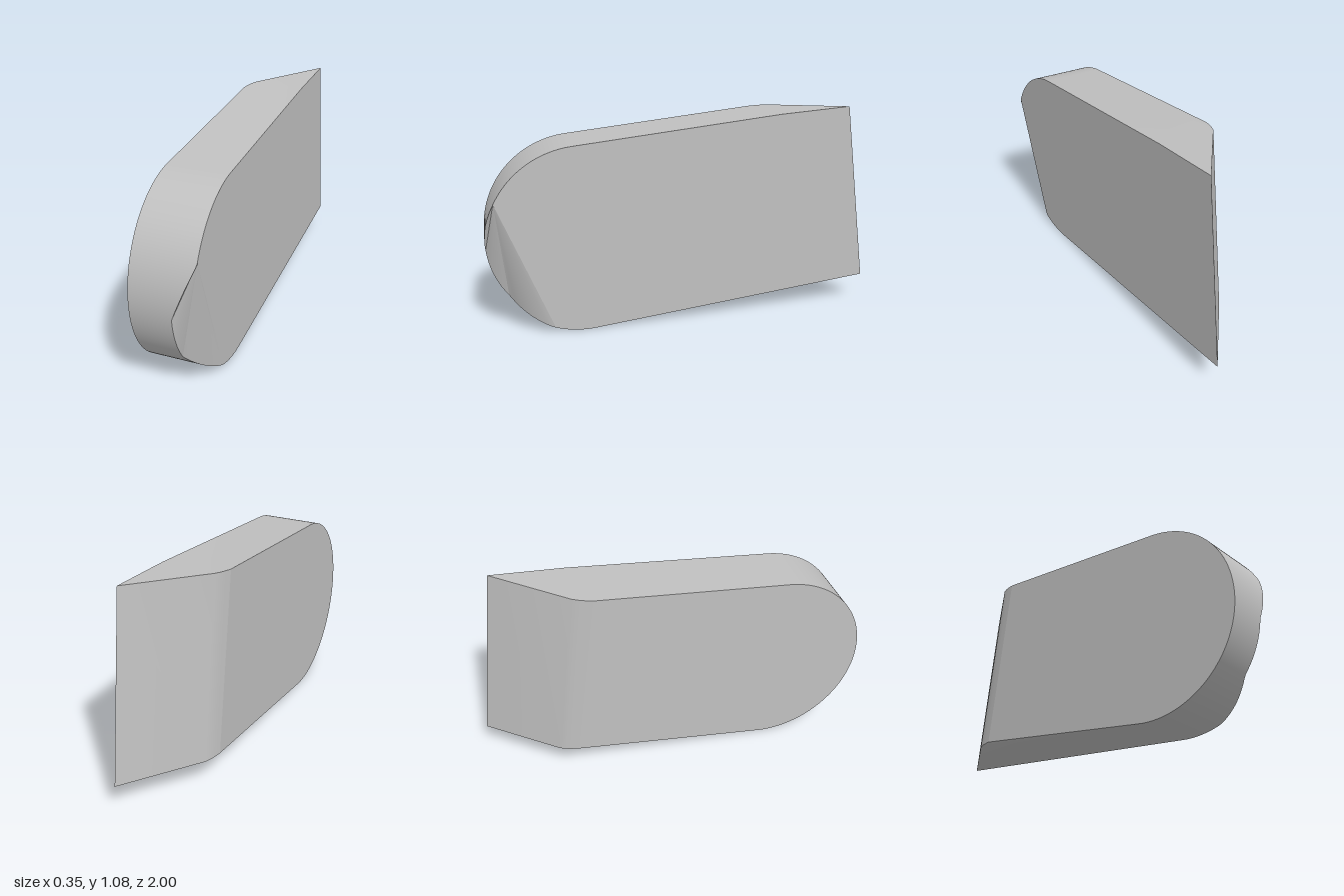
import * as THREE from 'three';
import { toCreasedNormals } from 'three/addons/utils/BufferGeometryUtils.js';

const LEFT = 0.145, RIGHT = -0.165;      // slab faces before the slight yaw
const CZ = 0.52, CY = 0.48, R = 0.48;    // rounded nose
const SEG = 72;

// stations across the thickness: [fraction from left to right, forward shift of the back edge]
const STATIONS = [[0, 0], [0.9, 0.355], [0.945, 0.385], [0.975, 0.415], [1, 0.45]];

// gently bowed top edge
const topY = (z) => z > -0.5 ? 0.958 + (0.563 - z) * 0.096 : 1.06 + (-0.5 - z) * 0.062;

// depth of the corner cut on the left of the nose, by height
function cutDepth(y) {
  const up = (0.69 - y) / 0.26, down = (y - 0.03) / 0.15;
  return 0.105 * Math.max(0, Math.min(1, up, down));
}

// apply the slight yaw
const place = (x, y, z) => new THREE.Vector3(x + 0.025 * z, y, z);

// outline at one station: back top, top bend, nose arc, back bottom
function section([f, shift]) {
  const x = THREE.MathUtils.lerp(LEFT, RIGHT, f);
  const zb = -0.87 + shift, zm = THREE.MathUtils.lerp(0.563, zb, 0.74);
  const pts = [place(x, topY(zb), zb), place(x, topY(zm), zm)];
  for (let i = 0; i <= SEG; i++) {
    const a = THREE.MathUtils.degToRad(84.7 - 180.2 * i / SEG);
    const y = CY + R * Math.sin(a);
    pts.push(place(x - cutDepth(y) * (1 - f), y, CZ + R * Math.cos(a)));
  }
  pts.push(place(x, 0.145, -1 + shift));
  return pts;
}

function meshFrom(tris, name, material) {
  const geo = new THREE.BufferGeometry().setFromPoints(tris);
  const mesh = new THREE.Mesh(toCreasedNormals(geo, 0.4), material);
  mesh.name = name;
  return mesh;
}

function fan(points, flip = false) {
  const tris = [];
  for (let i = 1; i < points.length - 1; i++) {
    const [b, c] = flip ? [points[i + 1], points[i]] : [points[i], points[i + 1]];
    tris.push(points[0], b, c);
  }
  return tris;
}

export function createModel() {
  const group = new THREE.Group();
  group.name = 'roundedSlab';
  const grey = new THREE.MeshStandardMaterial({ color: 0xc0c0c0 });
  grey.name = 'light grey';

  const rings = STATIONS.map(section);
  const n = rings[0].length;

  // rim: top, nose, underside and bevelled back
  const rim = [];
  for (let k = 0; k < rings.length - 1; k++) {
    for (let i = 0; i < n; i++) {
      const j = (i + 1) % n;
      const a = rings[k][i], b = rings[k][j], c = rings[k + 1][i], d = rings[k + 1][j];
      rim.push(a, c, b, b, c, d);
    }
  }
  group.add(meshFrom(rim, 'rim', grey));

  // flat sides
  const left = rings[0];
  const isCut = left.map((p) => cutDepth(p.y) > 0 && p.z > CZ);
  group.add(meshFrom(fan(left.filter((p, i) => !isCut[i])), 'leftSide', grey));
  group.add(meshFrom(fan(rings[rings.length - 1], true), 'rightSide', grey));

  // angled corner cut on the nose
  const first = isCut.indexOf(true), last = isCut.lastIndexOf(true);
  group.add(meshFrom(fan(left.slice(first - 1, last + 2)), 'noseCut', grey));

  return group;
}
